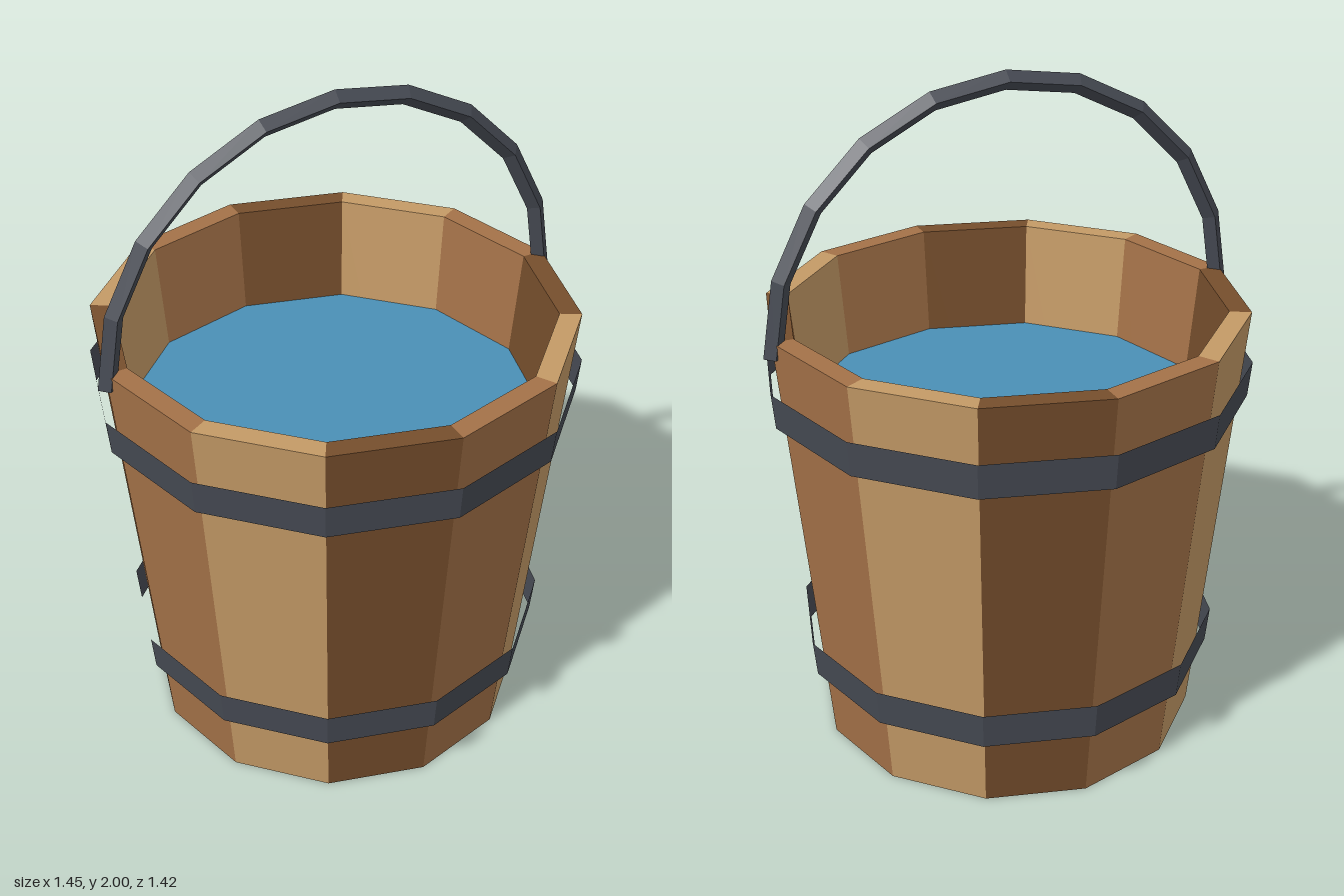
import * as THREE from 'three';

const SIDES = 12;

function material(name, color, options = {}) {
  const m = new THREE.MeshStandardMaterial({ color, flatShading: true, ...options });
  m.name = name;
  return m;
}

export function createModel() {
  const group = new THREE.Group();
  group.name = 'bucket';

  const midWood = material('mid wood', 0xa47248);
  const lightWood = material('light wood', 0xc49a66);
  const darkWood = material('dark wood', 0x764e2c);
  const iron = material('iron', 0x464a53, { side: THREE.DoubleSide });
  const water = material('water', 0x4a8fb6);

  const add = (name, geometry, mat, y = 0) => {
    const mesh = new THREE.Mesh(geometry, mat);
    mesh.name = name;
    mesh.position.y = y;
    group.add(mesh);
    return mesh;
  };

  // Staves: outer wall, rim and inner wall, in three alternating woods
  const profile = [[0.57, 0], [0.7, 1.32], [0.636, 1.32], [0.515, 0.08]]
    .map(([r, y]) => new THREE.Vector2(r, y));
  const woods = [midWood, lightWood, darkWood];
  const step = (Math.PI * 2) / SIDES;
  for (let i = 0; i < SIDES; i++) {
    add(`stave${i + 1}`, new THREE.LatheGeometry(profile, 1, i * step, step), woods[i % 3]);
  }

  // Horizontal discs: the base faces down, the water faces up
  const disc = (r, tilt) => new THREE.CircleGeometry(r, SIDES).rotateX(tilt);
  add('base', disc(0.57, Math.PI / 2), lightWood);
  add('waterSurface', disc(0.605, -Math.PI / 2), water, 1.0);

  // Iron hoops, standing slightly clear of the staves
  const hoop = (name, rTop, rBottom, y0, y1) => add(name,
    new THREE.CylinderGeometry(rTop, rBottom, y1 - y0, SIDES, 1, true), iron, (y0 + y1) / 2);
  hoop('lowerHoop', 0.63, 0.619, 0.22, 0.33);
  hoop('upperHoop', 0.711, 0.701, 1.06, 1.165);

  // Handle: half ring with a diamond section
  add('handle', new THREE.TorusGeometry(0.697, 0.028, 4, 10, Math.PI), iron, 1.275);

  return group;
}
